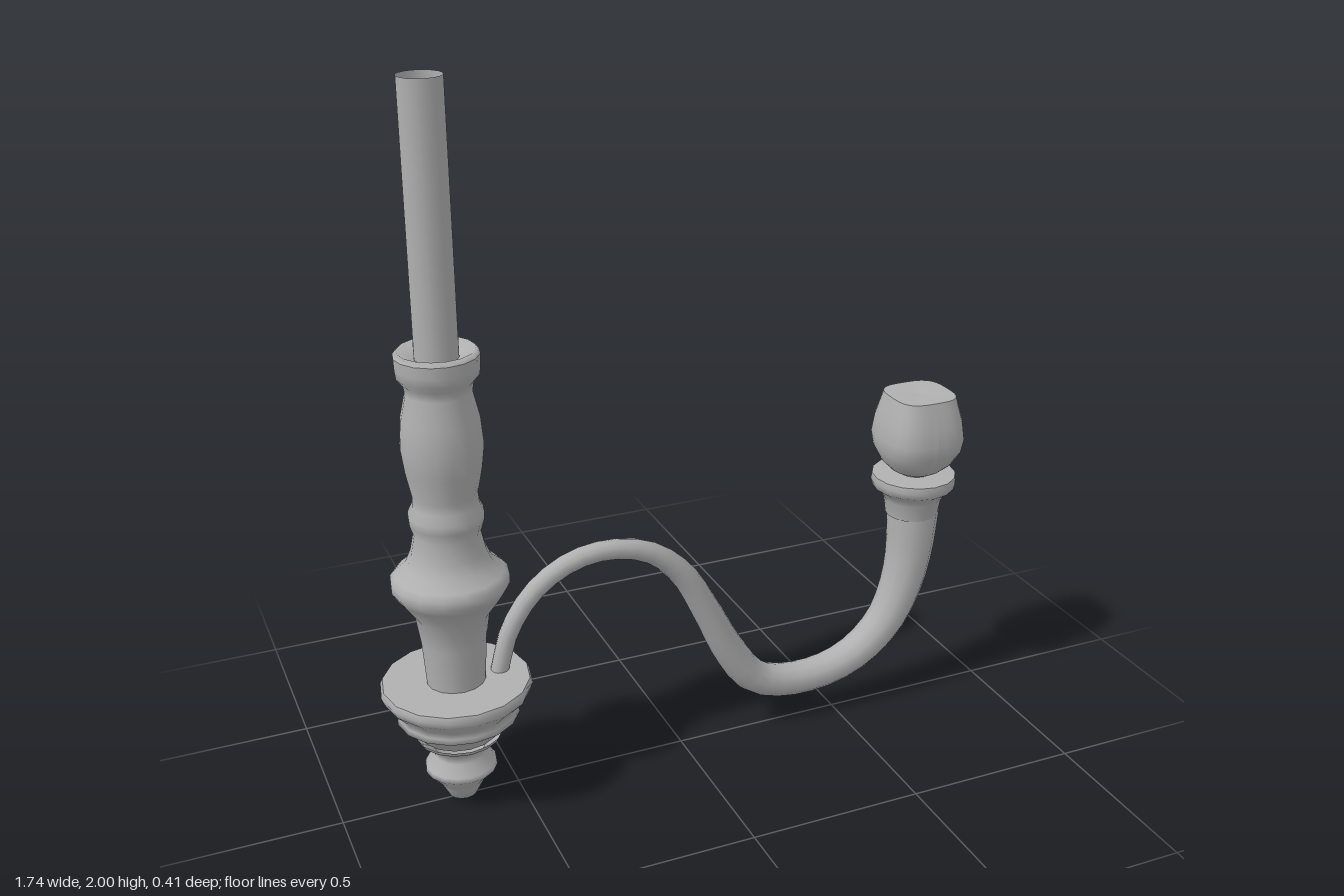
import * as THREE from 'three';

const metal = new THREE.MeshStandardMaterial({ color: 0xb0b0b0, side: THREE.DoubleSide });
metal.name = 'grey metal';

const STEM_X = -0.662, CUP_X = 0.748;

// Turned part; each profile is a list of [radius, height], sharp edges lie between profiles
function turned(name, x, profile, sides = 16) {
  const points = profile.map(([r, y]) => new THREE.Vector2(r, y));
  const mesh = new THREE.Mesh(new THREE.LatheGeometry(points, sides), metal);
  mesh.name = name;
  mesh.position.x = x;
  return mesh;
}

// Tube whose radius varies along its path; stations are [x, y, radius]
function taperedTube(stations, steps, sides) {
  const curve = new THREE.CatmullRomCurve3(stations.map(([x, y]) => new THREE.Vector3(x, y, 0)));
  const geometry = new THREE.TubeGeometry(curve, steps, 1, sides);
  const position = geometry.attributes.position;
  const v = new THREE.Vector3();
  for (let i = 0; i <= steps; i++) {
    const centre = curve.getPointAt(i / steps);
    const s = curve.getUtoTmapping(i / steps) * (stations.length - 1);
    const k = Math.min(Math.floor(s), stations.length - 2);
    const radius = THREE.MathUtils.lerp(stations[k][2], stations[k + 1][2], s - k);
    for (let j = 0; j <= sides; j++) {
      const n = i * (sides + 1) + j;
      v.fromBufferAttribute(position, n).sub(centre).multiplyScalar(radius).add(centre);
      position.setXYZ(n, v.x, v.y, v.z);
    }
  }
  return geometry;
}

// Rounded-square holder, made by squaring off a lathe
function squaredLathe(profile) {
  const geometry = new THREE.LatheGeometry(profile.map(([r, y]) => new THREE.Vector2(r, y)), 32);
  const position = geometry.attributes.position;
  for (let i = 0; i < position.count; i++) {
    const x = position.getX(i), z = position.getZ(i), r = Math.hypot(x, z);
    if (r < 1e-6) continue;
    const p = 3.4;
    const k = r / Math.pow(Math.abs(x) ** p + Math.abs(z) ** p, 1 / p);
    // fully round at the foot, squarer towards the top
    const blend = THREE.MathUtils.smoothstep(position.getY(i), 0.73, 0.86);
    const f = 1 + (k - 1) * blend;
    position.setX(i, x * f);
    position.setZ(i, z * f);
  }
  geometry.computeVertexNormals();
  return geometry;
}

export function createModel() {
  const group = new THREE.Group();
  group.name = 'candleArm';

  // Stepped finial and dish at the foot of the stem
  group.add(turned('finial', STEM_X, [
    [0.012, 0], [0.04, 0.012], [0.057, 0.045], [0.068, 0.065], [0.1, 0.1], [0.098, 0.115],
    [0.072, 0.145], [0.072, 0.17], [0.115, 0.2], [0.12, 0.212],
  ]));
  group.add(turned('dishTiers', STEM_X, [
    [0.108, 0.212], [0.125, 0.235], [0.138, 0.255], [0.168, 0.27], [0.165, 0.285],
    [0.162, 0.3], [0.2, 0.34], [0.207, 0.36], [0.2, 0.375],
  ]));
  group.add(turned('dishTop', STEM_X, [[0.2, 0.375], [0.08, 0.375]]));

  // Turned stem
  group.add(turned('stem', STEM_X, [
    [0.08, 0.375], [0.088, 0.5], [0.1, 0.58], [0.145, 0.645], [0.157, 0.665], [0.158, 0.69],
    [0.145, 0.705], [0.115, 0.73], [0.1, 0.765], [0.088, 0.82], [0.098, 0.85], [0.1, 0.875],
    [0.088, 0.9], [0.086, 0.93], [0.1, 1.0], [0.108, 1.065], [0.102, 1.14], [0.086, 1.21],
    [0.09, 1.235], [0.106, 1.255], [0.109, 1.28], [0.11, 1.31],
  ]));
  group.add(turned('stemRim', STEM_X, [[0.11, 1.31], [0.1, 1.322], [0.057, 1.3]]));

  // Open pipe
  group.add(turned('pipe', STEM_X, [[0.057, 1.3], [0.057, 2]]));

  // S-curved arm, thickening towards the cup
  const arm = new THREE.Mesh(taperedTube([
    [-0.54, 0.37, 0.025], [-0.505, 0.49, 0.026], [-0.43, 0.595, 0.027], [-0.33, 0.657, 0.028],
    [-0.22, 0.674, 0.028], [-0.1, 0.645, 0.031], [0, 0.56, 0.036], [0.08, 0.42, 0.042],
    [0.15, 0.28, 0.048], [0.23, 0.17, 0.05], [0.33, 0.131, 0.049], [0.47, 0.133, 0.05],
    [0.58, 0.175, 0.053], [0.67, 0.26, 0.057], [0.72, 0.37, 0.063], [0.742, 0.48, 0.069],
    [0.748, 0.62, 0.077],
  ], 40, 12), metal);
  arm.name = 'arm';
  group.add(arm);

  // Flared cup at the end of the arm
  group.add(turned('cup', CUP_X - 0.005, [
    [0.077, 0.61], [0.085, 0.66], [0.1, 0.685], [0.12, 0.7], [0.125, 0.72], [0.122, 0.737],
  ]));
  group.add(turned('cupTop', CUP_X - 0.005, [[0.122, 0.737], [0.001, 0.742]]));

  // Rounded-square holder with a flat top
  const holder = new THREE.Mesh(squaredLathe([
    [0.045, 0.738], [0.075, 0.755], [0.1, 0.78], [0.116, 0.82], [0.119, 0.86],
    [0.112, 0.91], [0.1, 0.955], [0.092, 0.985],
  ]), metal);
  holder.name = 'holder';
  const holderTop = new THREE.Mesh(squaredLathe([[0.092, 0.985], [0.05, 0.985], [0.001, 0.98]]), metal);
  holderTop.name = 'holderTop';
  for (const part of [holder, holderTop]) {
    part.position.x = CUP_X;
    group.add(part);
  }
  return group;
}
